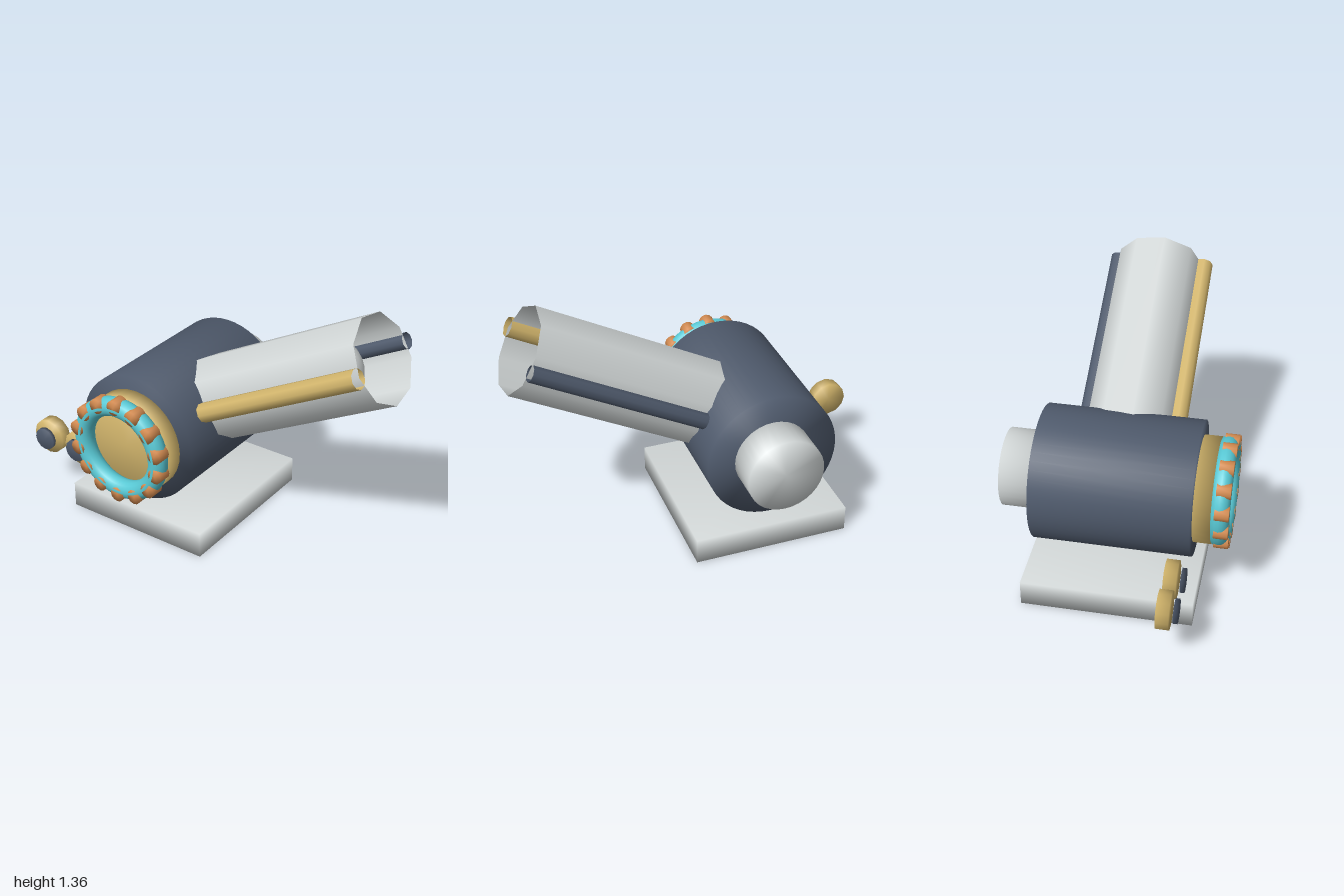
import * as THREE from 'three';
import { mergeVertices } from 'three/addons/utils/BufferGeometryUtils.js';

function material(name, color, side = THREE.FrontSide) {
  const m = new THREE.MeshStandardMaterial({ color, side });
  m.name = name;
  return m;
}

// Weld corners so shading runs softly over the edges
function soften(geometry) {
  geometry.deleteAttribute('normal');
  geometry.deleteAttribute('uv');
  const welded = mergeVertices(geometry, 1e-4);
  welded.computeVertexNormals();
  return welded;
}

export function createModel() {
  const model = new THREE.Group();
  model.name = 'model';
  const light = material('light grey', 0xd3d8d8, THREE.DoubleSide);
  const slate = material('slate', 0x4f5a6c, THREE.DoubleSide);
  const gold = material('gold', 0xd2b56c, THREE.DoubleSide);
  const cyan = material('cyan', 0x58c8d4);
  const orange = material('orange', 0xd38b50);
  const cx = -0.26, cy = 0.545;

  function add(parent, name, geometry, mat, x = 0, y = 0, z = 0) {
    const mesh = new THREE.Mesh(geometry, mat);
    mesh.name = name;
    mesh.position.set(x, y, z);
    parent.add(mesh);
    return mesh;
  }

  // Closed drum lying along z
  function drum(parent, name, mat, radius, z0, z1, sides, x = cx, y = cy) {
    const g = new THREE.CylinderGeometry(radius, radius, z1 - z0, sides);
    g.rotateX(Math.PI / 2);
    return add(parent, name, soften(g), mat, x, y, (z0 + z1) / 2);
  }

  // Base slab and body
  add(model, 'base', soften(new THREE.BoxGeometry(0.825, 0.138, 0.875)), light, cx, 0.069, 0.002);
  drum(model, 'body', slate, 0.343, -0.398, 0.402, 48);
  drum(model, 'rearCap', light, 0.2, -0.58, -0.39, 32);
  drum(model, 'frontHub', gold, 0.27, 0.395, 0.49, 32);

  // Front ring studded with short pegs
  add(model, 'frontRing', new THREE.TorusGeometry(0.232, 0.05, 16, 56), cyan, cx, cy + 0.002, 0.53);
  const studs = new THREE.Group();
  studs.name = 'ringStuds';
  model.add(studs);
  for (let i = 0; i < 14; i++) {
    const a = (i / 14) * Math.PI * 2;
    drum(studs, 'ringStud', orange, 0.04, 0.508, 0.5785, 12,
      cx + 0.25 * Math.sin(a), cy + 0.002 + 0.25 * Math.cos(a));
  }

  // Raised open barrel with a ball inside and a thin tube on each side
  const arm = new THREE.Group();
  arm.name = 'barrelAssembly';
  arm.position.set(cx, cy + 0.008, 0.003);
  arm.rotation.z = -61.9 * Math.PI / 180;
  model.add(arm);
  function openTube(name, mat, radius, start, end, sides, z) {
    const g = new THREE.CylinderGeometry(radius, radius, end - start, sides, 1, true);
    add(arm, name, g, mat, 0, (start + end) / 2, z);
  }
  openTube('barrel', light, 0.226, 0.1, 1.305, 9, 0);
  openTube('leftTube', gold, 0.051, 0.25, 1.305, 9, 0.235);
  openTube('rightTube', slate, 0.042, 0.25, 1.305, 9, -0.229);
  add(arm, 'barrelBall', new THREE.SphereGeometry(0.172, 16, 12), light, 0, 0.98, 0);

  // Two loose knobs beside the body, each with a dark disc in front
  for (const x of [-0.903, -0.69]) {
    drum(model, 'knob', gold, 0.097, 0.303, 0.367, 12, x, 0.313);
    drum(model, 'knobDisc', slate, 0.062, 0.383, 0.403, 12, x, 0.313);
  }
  return model;
}
